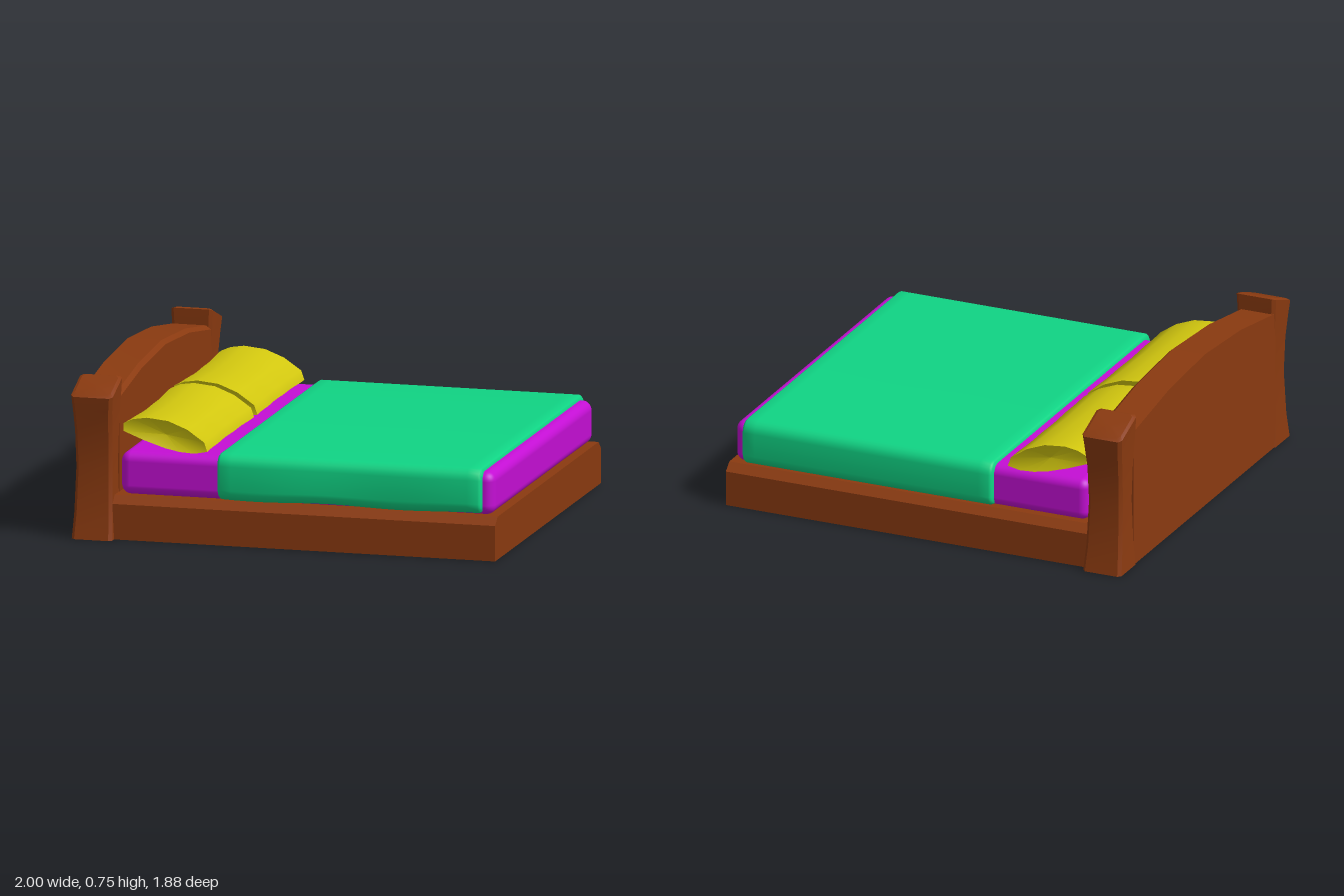
import * as THREE from 'three';
import { toCreasedNormals } from 'three/addons/utils/BufferGeometryUtils.js';
import { RoundedBoxGeometry } from 'three/addons/geometries/RoundedBoxGeometry.js';

const WOOD = 0x8a3a10, MATTRESS = 0xc40fd4, BLANKET = 0x10d484, PILLOW = 0xd2c70f;

function part(name, geometry, color) {
  const mesh = new THREE.Mesh(geometry, new THREE.MeshStandardMaterial({ color }));
  mesh.name = name;
  return mesh;
}

// Skin a stack of rings (each counter-clockwise seen from the far end) and cap both ends.
// dent pushes the cap centres inwards.
function loft(rings, crease = 0.5, dent = 0) {
  const n = rings[0].length, last = rings.length - 1;
  const points = rings.flat();
  const index = [];
  for (let j = 0; j < last; j++) {
    for (let i = 0; i < n; i++) {
      const k = (i + 1) % n;
      const a = j * n + i, b = j * n + k, c = a + n, d = b + n;
      index.push(a, b, d, a, d, c);
    }
  }
  const centre = (ring) => ring.reduce((s, p) => s.add(p), new THREE.Vector3()).divideScalar(n);
  const first = centre(rings[0]), end = centre(rings[last]);
  const axis = end.clone().sub(first).normalize().multiplyScalar(dent);
  points.push(first.add(axis), end.sub(axis));
  for (let i = 0; i < n; i++) {
    const k = (i + 1) % n;
    index.push(points.length - 2, k, i, points.length - 1, last * n + i, last * n + k);
  }
  const geometry = new THREE.BufferGeometry().setFromPoints(points);
  geometry.setIndex(index);
  return toCreasedNormals(geometry, crease);
}

// Section in the y-z plane placed at x
const ringAtX = (x, yz) => yz.map(([y, z]) => new THREE.Vector3(x, y, z));

// Low platform with chamfered long edges
function bedFrame() {
  const section = [[0.2, -0.855], [0.2, 0.855], [0.165, 0.895], [0, 0.895], [0, -0.895], [0.165, -0.895]];
  return part('bedFrame', loft([ringAtX(-0.9, section), ringAtX(1, section)]), WOOD);
}

// Arched board, bevelled along its front top edge
function headboard() {
  const section = (drop) => [
    [0.745 - drop, 0], [0.717 - drop, 0.4], [0.655 - drop, 0.78], [0, 0.78],
    [0, -0.78], [0.655 - drop, -0.78], [0.717 - drop, -0.4],
  ];
  const rings = [ringAtX(-0.99, section(0)), ringAtX(-0.83, section(0)), ringAtX(-0.81, section(0.018))];
  return part('headboard', loft(rings, 0.1), WOOD);
}

// Waisted post with a sloping top; side is +1 or -1
function post(side) {
  // height, half width in x, inner z, outer z, slope of the level
  const levels = [
    [0, 0.096, 0.755, 0.94, 0],
    [0.12, 0.09, 0.768, 0.917, 0],
    [0.33, 0.085, 0.775, 0.9, 0],
    [0.5, 0.088, 0.768, 0.911, 0],
    [0.6, 0.093, 0.758, 0.93, 0.02],
    [0.663, 0.099, 0.755, 0.94, 0.07],
    [0.676, 0.085, 0.77, 0.925, 0.06],
  ];
  const rings = levels.map(([y, hx, zi, zo, rise]) => {
    const c = 0.015;
    const corners = [
      [hx - c, zo], [hx, zo - c], [hx, zi + c], [hx - c, zi],
      [c - hx, zi], [-hx, zi + c], [-hx, zo - c], [c - hx, zo],
    ];
    const ring = corners.map(([x, z]) =>
      new THREE.Vector3(x - 0.9, y + rise * (zo - z) / (zo - zi), z * side));
    return side > 0 ? ring : ring.reverse();
  });
  return part(side > 0 ? 'leftPost' : 'rightPost', loft(rings, 0.35), WOOD);
}

function mattress() {
  const mesh = part('mattress', new RoundedBoxGeometry(1.77, 0.2, 1.695, 4, 0.045), MATTRESS);
  mesh.position.set(0.095, 0.3, 0);
  return mesh;
}

// Cover wrapped round the mattress, its sides gently rippled
function blanket() {
  const section = (x, inset) => {
    const half = [];
    const arc = (cy, cz, r, from) => {
      for (let i = 0; i <= 5; i++) {
        const a = (from + i / 5) * Math.PI / 2;
        half.push([cy + Math.cos(a) * (r - inset), cz + Math.sin(a) * (r - inset)]);
      }
    };
    arc(0.365, 0.828, 0.055, 0);
    arc(0.255, 0.833, 0.05, 1);
    const left = half.map(([y, z]) => {
      const low = THREE.MathUtils.clamp((0.42 - y) / 0.2, 0, 1);
      return [y + 0.005 * low * Math.sin(x * 9), z + 0.006 * low * Math.sin(x * 8 + 1)];
    });
    const right = half.map(([y, z]) => [y, -z]).reverse();
    return ringAtX(x, [...left, ...right]);
  };
  const rings = [section(-0.322, 0.012), section(-0.316, 0.004)];
  for (let i = 0; i <= 24; i++) rings.push(section(-0.308 + 1.221 * i / 24, 0));
  rings.push(section(0.92, 0.004), section(0.926, 0.012));
  return part('blanket', loft(rings, 0.7), BLANKET);
}

// Leaning cushion, a little slimmer in the middle, with hollow ends
function pillow(name, z0, z1) {
  const top = [[-0.785, 0.525], [-0.74, 0.545], [-0.675, 0.555], [-0.575, 0.545], [-0.485, 0.51], [-0.405, 0.455]];
  const under = [[-0.39, 0.412], [-0.45, 0.4], [-0.52, 0.404], [-0.59, 0.418], [-0.69, 0.45], [-0.785, 0.487]];
  const outline = [...top, ...under].reverse();
  const rings = [];
  const steps = 16;
  for (let i = 0; i <= steps; i++) {
    const t = i / steps;
    const bulge = Math.sin(t * Math.PI);
    const sx = 1 - 0.035 * bulge + 0.008 * Math.sin(t * 19);
    const sy = 1 - 0.2 * bulge;
    rings.push(outline.map(([x, y]) => new THREE.Vector3(
      -0.588 + (x + 0.588) * sx,
      y > 0.48 ? 0.48 + (y - 0.48) * sy : y,
      THREE.MathUtils.lerp(z0, z1, t))));
  }
  return part(name, loft(rings, 0.75, 0.03), PILLOW);
}

export function createModel() {
  const bed = new THREE.Group();
  bed.name = 'bed';
  bed.add(
    bedFrame(), headboard(), post(1), post(-1), mattress(), blanket(),
    pillow('leftPillow', 0.005, 0.8), pillow('rightPillow', -0.845, -0.05),
  );
  return bed;
}
